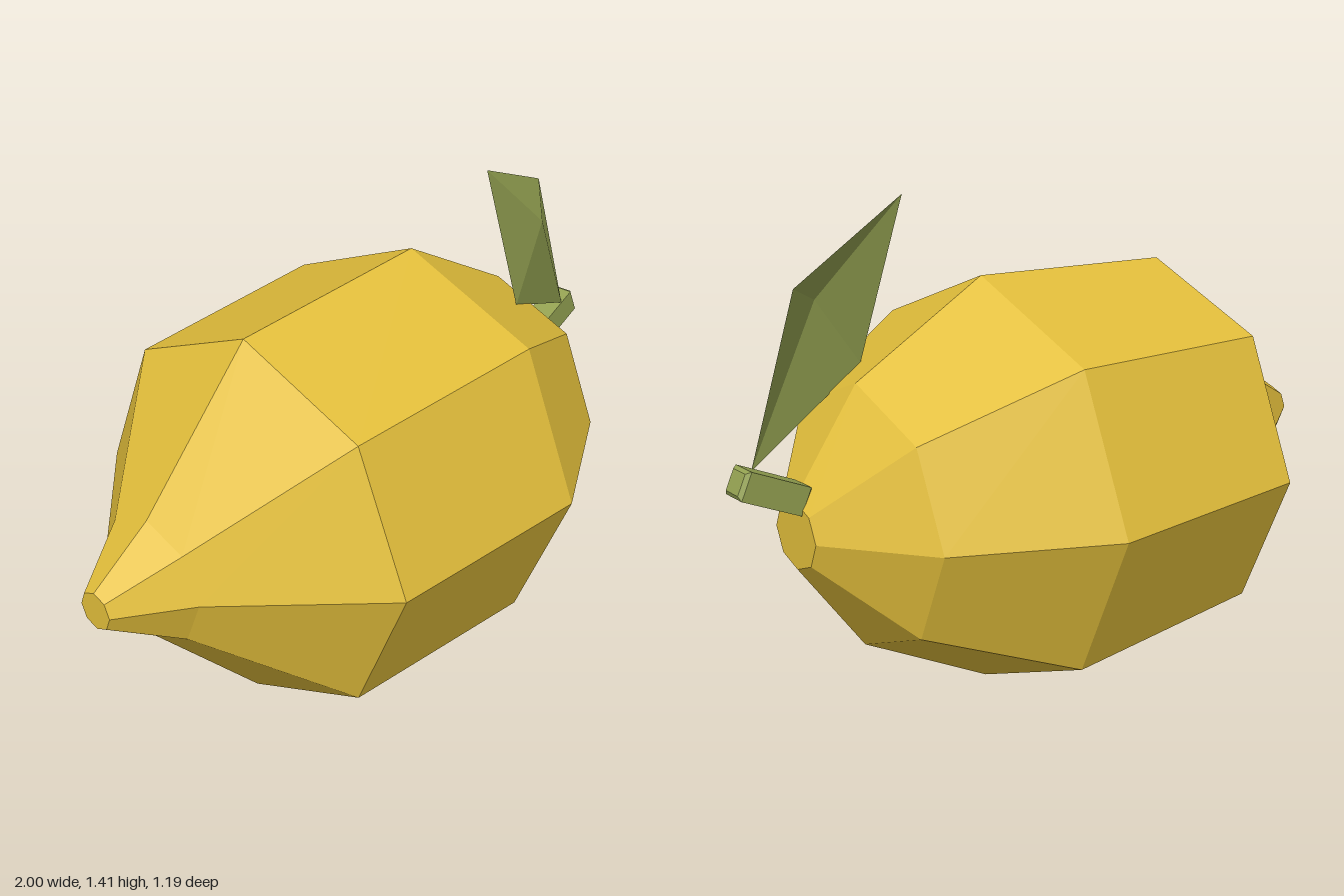
import * as THREE from 'three';

const rind = new THREE.MeshStandardMaterial({ color: 0xe2be3b, flatShading: true });
rind.name = 'lemon yellow';
const green = new THREE.MeshStandardMaterial({ color: 0x93a151, flatShading: true, side: THREE.DoubleSide });
green.name = 'leaf green';

// Give every face its own flat normal
function faceted(geometry) {
  const g = geometry.index ? geometry.toNonIndexed() : geometry;
  g.computeVertexNormals();
  return g;
}

function addPart(group, name, geometry, material) {
  const mesh = new THREE.Mesh(faceted(geometry), material);
  mesh.name = name;
  group.add(mesh);
  return mesh;
}

export function createModel() {
  const model = new THREE.Group();
  model.name = 'lemon';

  // Fruit: eight-sided lathe lying along x, given as [radius, x]
  const profile = [
    [0, -1], [0.054, -1], [0.18, -0.815], [0.556, -0.455],
    [0.595, 0.205], [0.37, 0.62], [0.095, 0.82], [0, 0.82],
  ].map(([r, x]) => new THREE.Vector2(r, x));
  const fruit = addPart(model, 'fruit', new THREE.LatheGeometry(profile, 8), rind);
  fruit.rotation.z = -Math.PI / 2;
  fruit.position.y = 0.597;

  // Stem: small box with chamfered edges, tilted upward
  const h = 0.029, bevel = 0.01, length = 0.206;
  const section = new THREE.Shape([
    new THREE.Vector2(-h, -h), new THREE.Vector2(h, -h),
    new THREE.Vector2(h, h), new THREE.Vector2(-h, h),
  ]);
  const stemGeometry = new THREE.ExtrudeGeometry(section, {
    depth: length - 2 * bevel, bevelEnabled: true,
    bevelSize: bevel, bevelThickness: bevel, bevelSegments: 1,
  });
  stemGeometry.translate(0, 0, bevel - length / 2);
  stemGeometry.rotateY(Math.PI / 2);
  const stem = addPart(model, 'stem', stemGeometry, green);
  stem.position.set(0.891, 0.736, 0);
  stem.rotation.z = 0.44;

  // Leaf: four facets folded around a raised centre
  const leafGeometry = new THREE.BufferGeometry();
  leafGeometry.setAttribute('position', new THREE.Float32BufferAttribute([
    0.92, 0.785, 0.033, // base
    0.787, 1.237, 0.01, // outer corner
    0.363, 1.412, 0.135, // tip
    0.495, 0.965, 0.162, // inner corner
    0.655, 1.17, 0.125, // centre
  ], 3));
  leafGeometry.setIndex([0, 1, 4, 1, 2, 4, 2, 3, 4, 3, 0, 4]);
  addPart(model, 'leaf', leafGeometry, green);

  return model;
}
